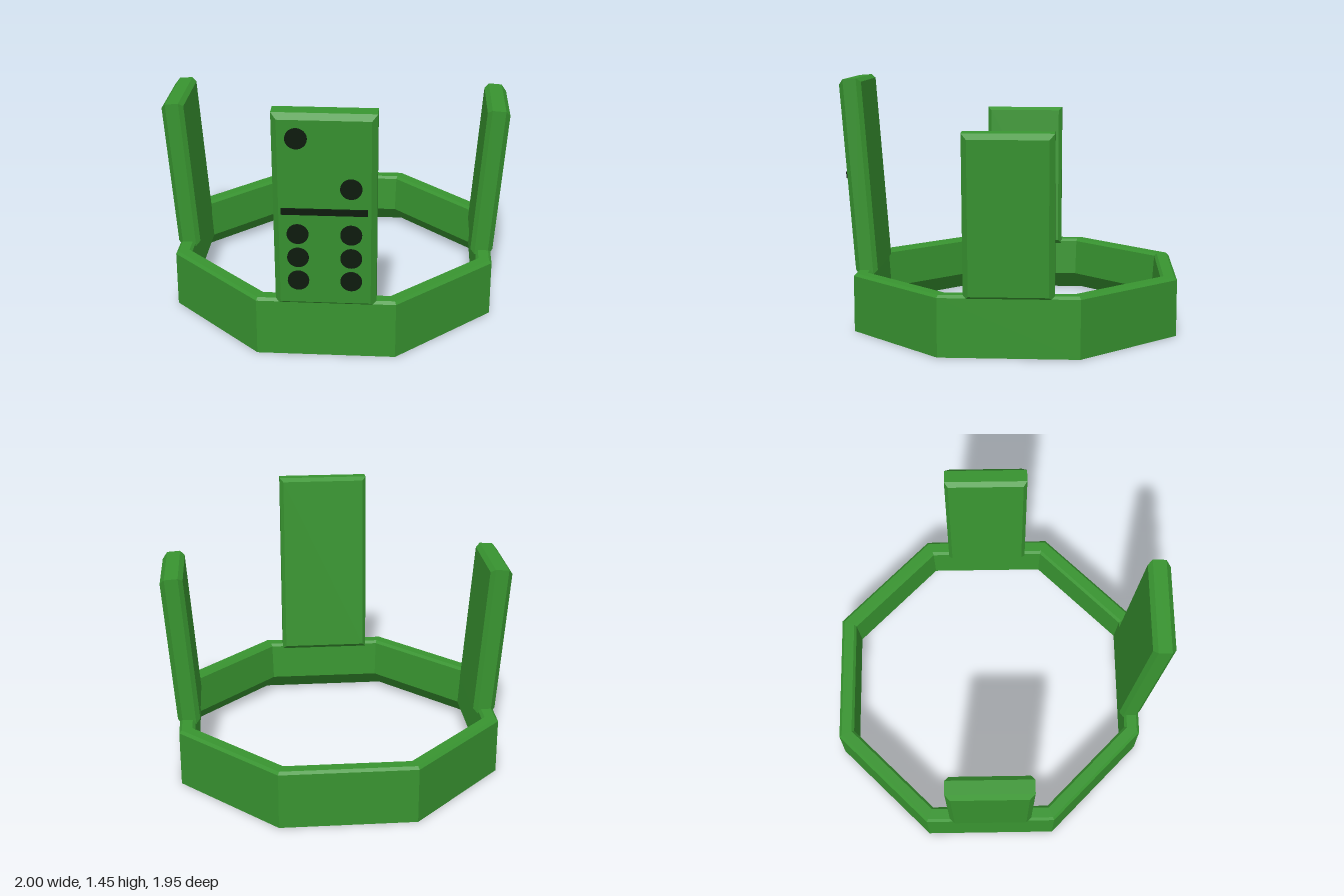
import * as THREE from 'three';
import { ConvexGeometry } from 'three/addons/geometries/ConvexGeometry.js';

const BASE_Y = 0.305;   // height of the tile feet
const TILT = 0.074;     // outward lean of the tiles
const THICK = 0.13;

export function createModel() {
  const green = new THREE.MeshStandardMaterial({ color: 0x389430 });
  green.name = 'green';
  green.flatShading = true;
  const black = new THREE.MeshStandardMaterial({ color: 0x0e1c0e });
  black.name = 'black';

  const model = new THREE.Group();
  model.name = 'dominoCrown';
  const crown = new THREE.Group();
  crown.name = 'crown';
  crown.position.z = -0.05;
  model.add(crown);

  // Octagonal band: the profile gives distances to the flat sides
  const profile = [
    [0.925, 0], [0.925, 0.325], [0.91, 0.34], [0.85, 0.34],
    [0.835, 0.325], [0.82, 0.11], [0.925, 0],
  ].map(([r, y]) => new THREE.Vector2(r / Math.cos(Math.PI / 8), y));
  const band = new THREE.Mesh(new THREE.LatheGeometry(profile, 8, Math.PI / 8), green);
  band.name = 'band';
  crown.add(band);

  // Bevelled tile slab, outer face on z = 0, foot on y = 0
  function slab(halfWidth, height) {
    const points = [];
    const layers = [[0, 0.03], [-0.028, 0], [-THICK + 0.025, 0], [-THICK, 0.022]];
    for (const [z, inset] of layers) {
      for (const side of [-1, 1]) {
        for (const y of [inset, height - inset]) {
          points.push(new THREE.Vector3(side * (halfWidth - inset), y, z));
        }
      }
    }
    return new ConvexGeometry(points);
  }

  // Tile standing on the band, turned around the crown and leaning outward
  function addTile(name, turn, halfWidth, height) {
    const pivot = new THREE.Group();
    pivot.name = name;
    pivot.rotation.y = turn;
    const tile = new THREE.Group();
    tile.name = name + 'Body';
    tile.position.set(0, BASE_Y, 0.935);
    tile.rotation.x = TILT;
    const mesh = new THREE.Mesh(slab(halfWidth, height), green);
    mesh.name = name + 'Slab';
    tile.add(mesh);
    pivot.add(tile);
    crown.add(pivot);
    return tile;
  }

  const front = addTile('frontTile', 0, 0.275, 1.145);
  addTile('leftTile', Math.PI / 2, 0.245, 0.903);
  addTile('rightTile', -Math.PI / 2, 0.245, 0.903);

  // Pips and dividing bar on the front tile
  const pipGeometry = new THREE.CylinderGeometry(0.058, 0.058, 0.0095, 32);
  pipGeometry.rotateX(Math.PI / 2);
  const pips = [[-0.145, 1.318], [0.14, 1.034]];
  for (const y of [0.76, 0.617, 0.475]) pips.push([-0.145, y], [0.14, y]);
  for (const [x, y] of pips) {
    const pip = new THREE.Mesh(pipGeometry, black);
    pip.name = 'pip';
    pip.position.set(x, y - BASE_Y, 0.0045);
    front.add(pip);
  }
  const bar = new THREE.Mesh(new THREE.BoxGeometry(0.46, 0.036, 0.0095), black);
  bar.name = 'dividingBar';
  bar.position.set(-0.002, 0.895 - BASE_Y, 0.0045);
  front.add(bar);

  return model;
}
